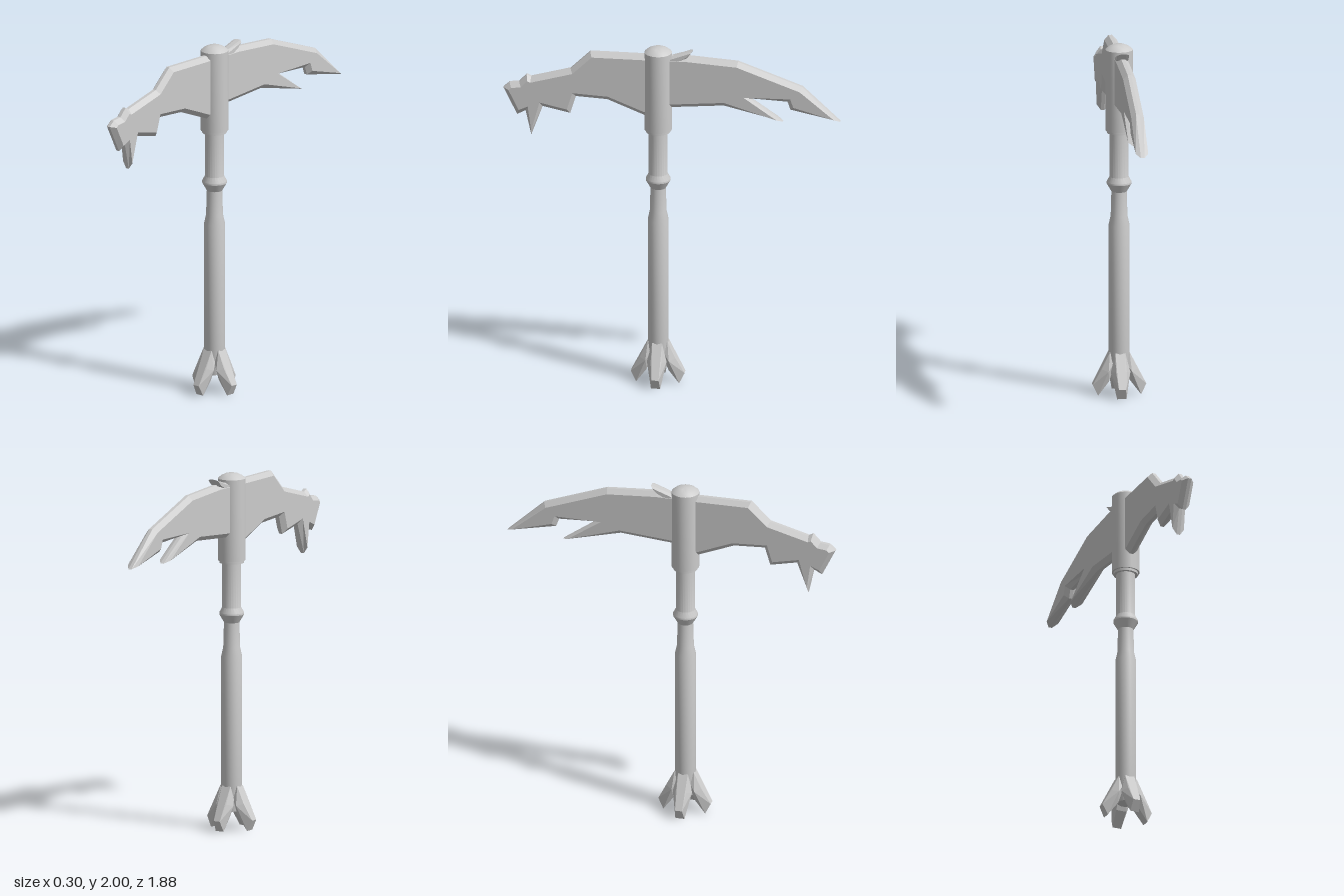
import * as THREE from 'three';
import { toCreasedNormals } from 'three/addons/utils/BufferGeometryUtils.js';
import { ConvexGeometry } from 'three/addons/geometries/ConvexGeometry.js';

const AXIS_Z = 0.077; // the shaft stands slightly in front of the centre
const material = new THREE.MeshStandardMaterial({ color: 0xcccccc });
const flatMaterial = new THREE.MeshStandardMaterial({ color: 0xcccccc, flatShading: true });

// Turned part from [radius, height] pairs, bottom to top
function turned(name, profile) {
  const points = profile.map(([r, y]) => new THREE.Vector2(r, y));
  const mesh = new THREE.Mesh(toCreasedNormals(new THREE.LatheGeometry(points, 24), 0.5), material);
  mesh.name = name;
  mesh.position.z = AXIS_Z;
  return mesh;
}

// Plate in the z-y plane whose faces are inset by a chamfer
function plate(name, outline, inset, halfFace, halfEdge) {
  const shape = new THREE.Shape(outline.map(([z, y]) => new THREE.Vector2(z, y)));
  const geometry = new THREE.ExtrudeGeometry(shape, {
    depth: halfEdge * 2,
    bevelEnabled: true,
    bevelSegments: 1,
    bevelThickness: halfFace - halfEdge,
    bevelSize: inset,
    bevelOffset: -inset,
  });
  geometry.translate(0, 0, -halfEdge);
  geometry.rotateY(-Math.PI / 2);
  const mesh = new THREE.Mesh(geometry, flatMaterial);
  mesh.name = name;
  return mesh;
}

// Faceted claw leaning outward along +x; points are [outward, height, half width]
function claw() {
  const points = [];
  for (const [r, y, w] of [
    [0.055, 0.245, 0.028], [0.01, 0.22, 0.025], [0.065, 0.14, 0.055],
    [0.1, 0.15, 0.03], [0.15, 0.06, 0.02], [0.12, 0.0, 0.026], [0.06, 0.08, 0.03],
  ]) {
    points.push(new THREE.Vector3(r, y, w), new THREE.Vector3(r, y, -w));
  }
  return new ConvexGeometry(points);
}

export function createModel() {
  const model = new THREE.Group();
  model.name = 'pickaxe';

  model.add(turned('handle', [
    [0, 0.1], [0.045, 0.1], [0.058, 0.2], [0.058, 0.97], [0.047, 1.02], [0.043, 1.16],
    [0.069, 1.205], [0.069, 1.215], [0.053, 1.245], [0.053, 1.52],
  ]));
  model.add(turned('headSocket', [
    [0, 1.495], [0.068, 1.495], [0.068, 1.51], [0.077, 1.51], [0.077, 1.97],
    [0.06, 1.985], [0.035, 1.997], [0, 2.0],
  ]));

  // Curved blade: jagged beak in front, long split point behind
  model.add(plate('blade', [
    [0.08, 1.955], [0.455, 1.957], [0.565, 1.85], [0.785, 1.79], [0.81, 1.802],
    [0.852, 1.757], [0.905, 1.75], [0.94, 1.72],
    [0.863, 1.563], [0.816, 1.588], [0.784, 1.443], [0.72, 1.618], [0.566, 1.584],
    [0.535, 1.687], [0.36, 1.677], [0.15, 1.592],
    [0.077, 1.63], [0, 1.648], [-0.29, 1.672], [-0.62, 1.592], [-0.435, 1.723],
    [-0.646, 1.713], [-0.662, 1.666], [-0.94, 1.607],
    [-0.73, 1.804], [-0.37, 1.937], [-0.085, 1.957],
  ].reverse(), 0.025, 0.035, 0.01));

  // Small spur on the upper edge behind the socket
  model.add(plate('spur', [
    [0.03, 1.94], [0, 1.953], [-0.117, 1.99], [-0.085, 1.945], [0, 1.9], [0.03, 1.9],
  ].reverse(), 0.01, 0.033, 0.015));

  // Four claws around the foot of the handle
  const claws = new THREE.Group();
  claws.name = 'footClaws';
  claws.position.z = AXIS_Z;
  const clawGeometry = claw();
  for (let i = 0; i < 4; i++) {
    const mesh = new THREE.Mesh(clawGeometry, flatMaterial);
    mesh.name = 'claw' + (i + 1);
    mesh.rotation.y = (i * Math.PI) / 2;
    claws.add(mesh);
  }
  model.add(claws);

  return model;
}
